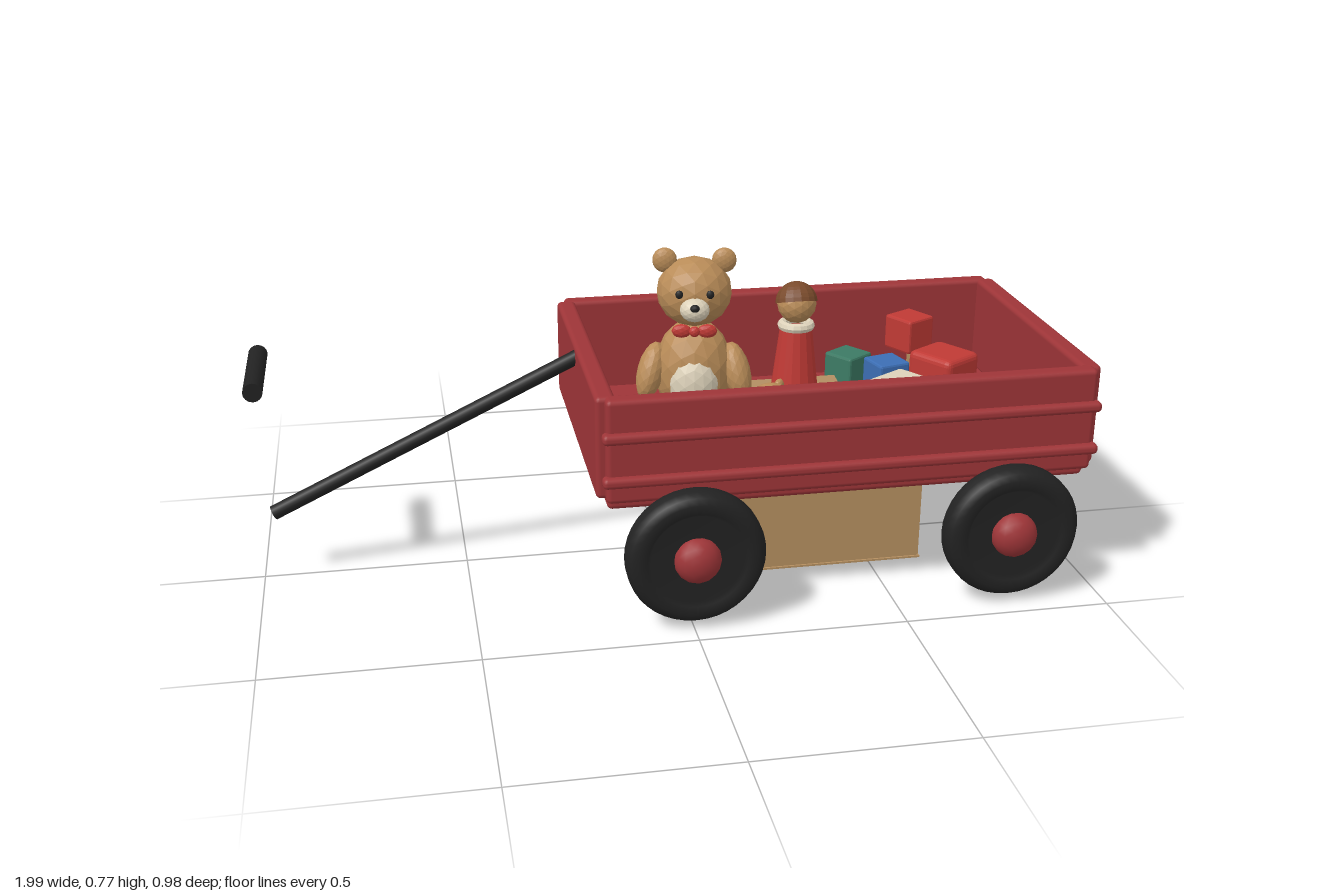
import * as THREE from 'three';
import { RoundedBoxGeometry } from 'three/addons/geometries/RoundedBoxGeometry.js';

const mat = (name, color, flatShading = false) => {
  const m = new THREE.MeshStandardMaterial({ color, flatShading });
  m.name = name;
  return m;
};

export function createModel() {
  const wagonRed = mat('wagon red', 0x9e3538);
  const brightRed = mat('bright red', 0xc03a35, true);
  const black = mat('black', 0x222222);
  const card = mat('cardboard', 0xb58f60);
  const fur = mat('bear tan', 0xb98c58, true);
  const cream = mat('cream', 0xddd2ba, true);
  const brown = mat('hair brown', 0x7a4b2c, true);
  const blue = mat('toy blue', 0x3c6eb4, true);
  const green = mat('toy green', 0x3c7a64, true);

  const model = new THREE.Group();
  model.name = 'toyWagon';

  const add = (parent, name, geo, material, x = 0, y = 0, z = 0) => {
    const m = new THREE.Mesh(geo, material);
    m.name = name;
    m.position.set(x, y, z);
    parent.add(m);
    return m;
  };
  const group = (parent, name, x, y, z, ry = 0) => {
    const g = new THREE.Group();
    g.name = name;
    g.position.set(x, y, z);
    g.rotation.y = ry;
    parent.add(g);
    return g;
  };
  // Rounded box given by its extents
  const slab = (parent, name, material, x0, x1, y0, y1, z0, z1, r = 0.012) =>
    add(parent, name, new RoundedBoxGeometry(x1 - x0, y1 - y0, z1 - z0, 2, r), material,
      (x0 + x1) / 2, (y0 + y1) / 2, (z0 + z1) / 2);
  // Faceted ellipsoid
  const blob = (parent, name, material, x, y, z, rx, ry = rx, rz = rx, detail = 2) => {
    const m = add(parent, name, new THREE.IcosahedronGeometry(1, detail), material, x, y, z);
    m.scale.set(rx, ry, rz);
    return m;
  };
  // Rod between two points
  const rod = (name, a, b, r) => {
    const m = add(model, name, new THREE.CylinderGeometry(r, r, a.distanceTo(b), 16), black);
    m.position.copy(a).add(b).multiplyScalar(0.5);
    m.quaternion.setFromUnitVectors(new THREE.Vector3(0, 1, 0), b.clone().sub(a).normalize());
  };

  // Wagon tray
  slab(model, 'floor', wagonRed, -0.19, 0.97, 0.28, 0.317, -0.36, 0.36);
  for (const s of [-1, 1]) {
    slab(model, s > 0 ? 'frontWall' : 'backWall', wagonRed, -0.195, 0.975, 0.306, 0.56,
      s > 0 ? 0.343 : -0.388, s > 0 ? 0.388 : -0.343);
  }
  slab(model, 'rightEndWall', wagonRed, -0.216, -0.168, 0.31, 0.56, -0.358, 0.362);
  slab(model, 'leftEndWall', wagonRed, 0.945, 0.993, 0.31, 0.56, -0.358, 0.362);
  for (const y of [0.363, 0.47])
    slab(model, 'sideRail', wagonRed, -0.205, 0.985, y - 0.013, y + 0.013, 0.37, 0.405, 0.011);

  // Wheels: lathed tyre with a domed hub
  const tyre = new THREE.LatheGeometry([
    [0, -0.028], [0.11, -0.028], [0.118, -0.037], [0.14, -0.038], [0.156, -0.03], [0.165, -0.014],
    [0.165, 0.014], [0.156, 0.03], [0.14, 0.038], [0.118, 0.037], [0.11, 0.028], [0, 0.028],
  ].map(([r, y]) => new THREE.Vector2(r, y)), 40);
  for (const x of [0.005, 0.77]) for (const s of [-1, 1]) {
    const wheel = group(model, 'wheel', x, 0.18, s * 0.419);
    add(wheel, 'tyre', tyre, black).rotation.x = Math.PI / 2;
    blob(wheel, 'hub', wagonRed, 0, 0, s * 0.03, 0.056, 0.056, 0.043);
  }

  // Pull handle with separate grip
  rod('handleShaft', new THREE.Vector3(-0.965, 0.172, 0), new THREE.Vector3(-0.195, 0.538, 0), 0.018);
  rod('handleGrip', new THREE.Vector3(-0.977, 0.539, -0.135), new THREE.Vector3(-0.977, 0.539, 0.135), 0.023);

  // Cardboard box under the tray, its flaps slanting outward
  add(model, 'boxBody', new THREE.BoxGeometry(0.49, 0.29, 0.36), card, 0.387, 0.148, 0);
  for (const s of [-1, 1]) {
    add(model, 'boxBottomFlap', new THREE.BoxGeometry(0.496, 0.005, 0.183), card, 0.387, 0.0025, s * 0.093);
    const flap = add(model, 'boxTopFlap', new THREE.BoxGeometry(0.49, 0.1, 0.008), card, 0.387, 0.31, s * 0.2);
    flap.rotation.x = s * 0.65;
  }

  // Seated teddy bear
  const bear = group(model, 'bear', 0.098, 0, -0.08, -0.18);
  blob(bear, 'body', fur, 0, 0.45, 0, 0.1, 0.135, 0.092);
  blob(bear, 'belly', cream, 0, 0.435, 0.045, 0.068, 0.085, 0.058);
  blob(bear, 'head', fur, 0, 0.657, 0, 0.095, 0.088, 0.088);
  blob(bear, 'muzzle', cream, 0, 0.635, 0.085, 0.037, 0.03, 0.032);
  blob(bear, 'nose', black, 0, 0.648, 0.115, 0.012, 0.01, 0.01, 1);
  blob(bear, 'bowKnot', brightRed, 0, 0.573, 0.068, 0.014, 0.014, 0.012, 1);
  for (const s of [-1, 1]) {
    blob(bear, 'ear', fur, s * 0.074, 0.735, -0.008, 0.031, 0.032, 0.018);
    blob(bear, 'eye', black, s * 0.038, 0.672, 0.079, 0.01, 0.011, 0.007, 1);
    blob(bear, 'bowWing', brightRed, s * 0.032, 0.573, 0.062, 0.025, 0.018, 0.012, 1);
    blob(bear, 'arm', fur, s * 0.108, 0.455, 0.025, 0.035, 0.075, 0.04).rotation.set(-0.35, 0, s * 0.25);
    blob(bear, 'leg', fur, s * 0.07, 0.36, 0.085, 0.042, 0.043, 0.075);
    blob(bear, 'paw', cream, s * 0.072, 0.362, 0.145, 0.03, 0.034, 0.016);
  }

  // Small bear beside it
  const cub = group(model, 'smallBear', 0.285, 0, -0.015, 0.9);
  blob(cub, 'smallBody', fur, 0, 0.342, 0, 0.045, 0.035, 0.04);
  blob(cub, 'smallHead', fur, 0, 0.38, 0, 0.057, 0.04, 0.052);
  blob(cub, 'smallMuzzle', cream, 0, 0.372, 0.047, 0.018, 0.015, 0.014, 1);
  for (const s of [-1, 1]) blob(cub, 'smallEar', fur, s * 0.05, 0.4, 0, 0.018, 0.018, 0.012, 1);

  // Peg doll
  const doll = group(model, 'doll', 0.387, 0, -0.168);
  add(doll, 'dress', new THREE.CylinderGeometry(0.042, 0.066, 0.2, 16), brightRed, 0, 0.417, 0);
  const collar = add(doll, 'collar', new THREE.TorusGeometry(0.036, 0.013, 8, 16), cream, 0, 0.522, 0);
  collar.rotation.x = Math.PI / 2;
  blob(doll, 'face', fur, 0, 0.58, 0, 0.051);
  const hair = add(doll, 'hair', new THREE.SphereGeometry(0.055, 16, 8, 0, Math.PI * 2, 0, Math.PI * 0.5), brown, 0, 0.582, -0.003);
  hair.rotation.x = -0.35;

  // Ball
  blob(model, 'ball', blue, 0.33, 0.402, 0.195, 0.085, 0.085, 0.085, 3);

  // Toy blocks
  for (const [name, m, x, y, z, ry, size] of [
    ['greenBlock', green, 0.555, 0.364, -0.245, 0.6, 0.09],
    ['blueBlock', blue, 0.637, 0.366, -0.165, 0.25, 0.09],
    ['woodBlock', card, 0.762, 0.362, -0.2, 0.05, 0.088],
    ['redBlock', brightRed, 0.698, 0.482, -0.177, 0.5, 0.09],
  ]) add(model, name, new RoundedBoxGeometry(size, size, size, 1, 0.006), m, x, y, z).rotation.y = ry;

  // Toy truck
  const truck = group(model, 'truck', 0.635, 0, 0.13, 0.56);
  slab(truck, 'truckChassis', brightRed, -0.15, 0.145, 0.35, 0.385, -0.065, 0.065, 0.006);
  slab(truck, 'truckBed', cream, -0.158, 0.002, 0.385, 0.475, -0.076, 0.076, 0.01);
  slab(truck, 'truckCab', brightRed, 0.015, 0.138, 0.375, 0.52, -0.066, 0.066, 0.016);
  slab(truck, 'truckBumper', cream, 0.138, 0.152, 0.355, 0.38, -0.066, 0.066, 0.005);
  slab(truck, 'windscreen', cream, 0.134, 0.141, 0.445, 0.495, -0.048, 0.048, 0.003);
  for (const x of [-0.1, 0.085]) for (const s of [-1, 1]) {
    add(truck, 'truckWheel', new THREE.CylinderGeometry(0.04, 0.04, 0.026, 20), black, x, 0.357, s * 0.08)
      .rotation.x = Math.PI / 2;
    add(truck, 'truckHub', new THREE.CylinderGeometry(0.018, 0.018, 0.008, 12), cream, x, 0.357, s * 0.094)
      .rotation.x = Math.PI / 2;
  }

  return model;
}
